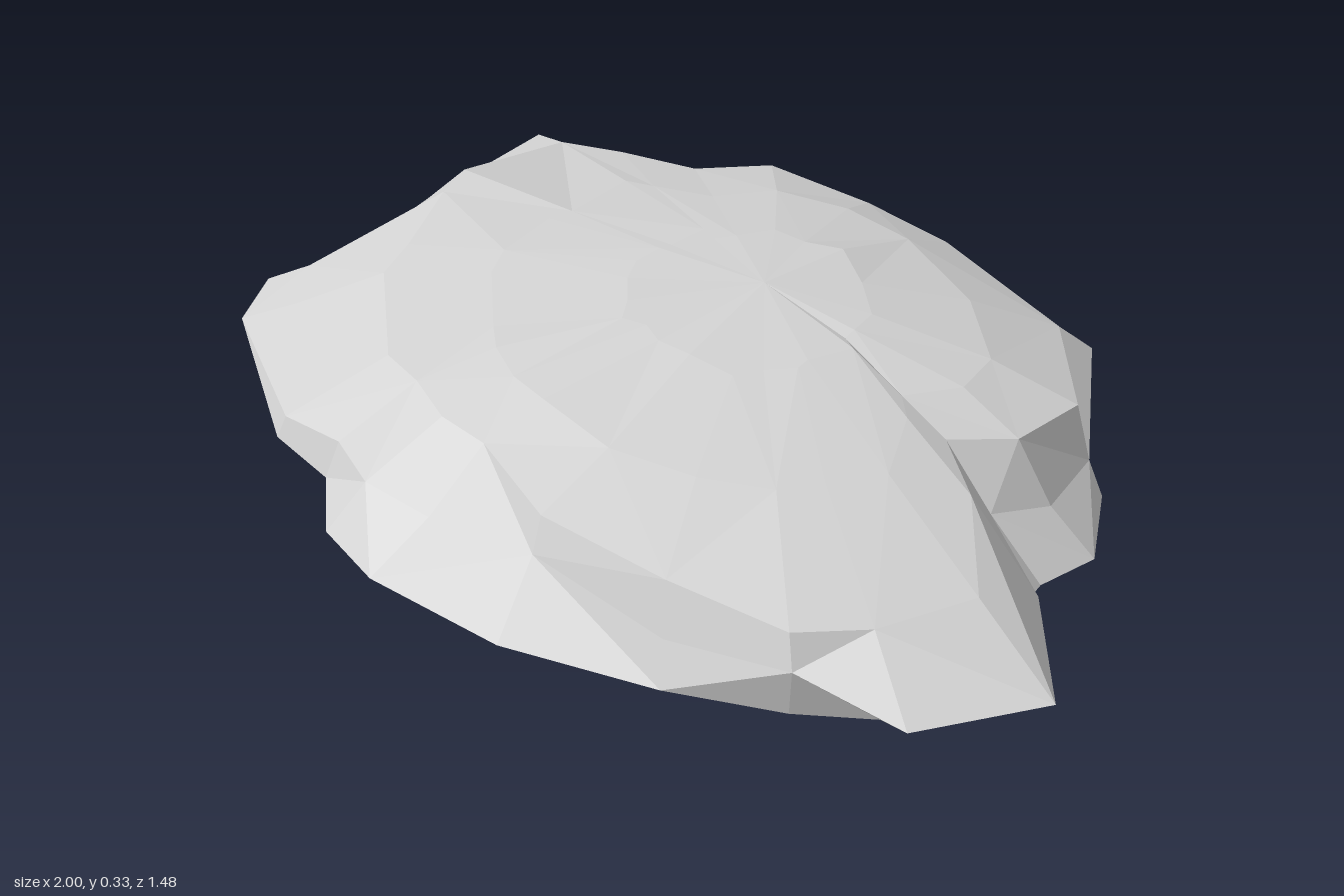
import * as THREE from 'three';

// Rock profile around the rim, one row per direction:
// angle (degrees, +x towards +z), foot radius, waist radius, waist height, shoulder radius, shoulder height
const RIM = [
  [-4, 0.74, 0.78, 0.11, 0.62, 0.24],
  [8, 0.79, 1.01, 0.135, 0.8, 0.21],
  [22, 0.84, 0.95, 0.12, 0.8, 0.215],
  [32, 0.79, 0.81, 0.16, 0.78, 0.22],
  [48, 0.73, 0.69, 0.13, 0.65, 0.225],
  [72, 0.715, 0.6, 0.17, 0.57, 0.235],
  [95, 0.745, 0.62, 0.13, 0.5, 0.24],
  [107, 0.76, 0.68, 0.14, 0.53, 0.24],
  [119, 0.73, 0.7, 0.13, 0.55, 0.245],
  [129, 0.82, 0.8, 0.1, 0.6, 0.235],
  [152, 1.01, 0.88, 0.12, 0.68, 0.24],
  [160, 1.04, 0.93, 0.12, 0.68, 0.25],
  [174, 0.955, 0.9, 0.12, 0.74, 0.26],
  [180, 1.0, 0.91, 0.13, 0.77, 0.265],
  [199, 0.94, 1.02, 0.13, 0.86, 0.2],
  [206, 0.93, 0.87, 0.1, 0.75, 0.22],
  [217, 0.93, 0.76, 0.11, 0.62, 0.245],
  [231, 0.855, 0.72, 0.1, 0.65, 0.24],
  [252, 0.78, 0.63, 0.1, 0.59, 0.235],
  [270, 0.69, 0.61, 0.12, 0.6, 0.215],
  [300, 0.64, 0.73, 0.14, 0.66, 0.2],
  [324, 0.73, 0.7, 0.1, 0.67, 0.22],
  [338, 0.76, 0.67, 0.11, 0.6, 0.235],
  [347, 0.71, 0.6, 0.13, 0.5, 0.25],
];
const PEAK = new THREE.Vector3(0, 0.33, -0.12);

function buildRock() {
  let seed = 7;
  const jitter = (amount) => {
    seed = (seed * 16807) % 2147483647;
    return (seed / 2147483647 - 0.5) * amount;
  };
  const polar = (deg, r, y) => {
    const a = THREE.MathUtils.degToRad(deg);
    return new THREE.Vector3(Math.cos(a) * r, y, Math.sin(a) * r);
  };
  // Shallow dome between the shoulder and the peak, rounder towards the middle
  const dome = (t, even) => RIM.map(([a, , , , r, y]) => {
    const p = polar(a, THREE.MathUtils.lerp(r, 0.66, even), y).lerp(PEAK, 1 - t);
    const edge = THREE.MathUtils.lerp(y, 0.235, even);
    p.y = PEAK.y - (PEAK.y - edge) * t ** 1.8 + jitter(0.006);
    p.x += jitter(0.04);
    p.z += jitter(0.04);
    return p;
  });

  // Rings from the underside to the peak
  const rings = [
    RIM.map(() => new THREE.Vector3(0, 0, 0)),
    RIM.map(([a, foot]) => polar(a, foot * 0.55, 0.004 + jitter(0.008))),
    RIM.map(([a, foot]) => polar(a, foot * 0.94, 0.011 + jitter(0.01))),
    RIM.map(([a, foot]) => polar(a, foot, a < 165 ? 0.052 : 0.022)),
    RIM.map(([a, , waist, y]) => polar(a, waist, y)),
    RIM.map(([a, , , , top, y]) => polar(a, top, y)),
    dome(0.7, 0.5),
    dome(0.35, 0.9),
    RIM.map(() => PEAK),
  ];

  const corners = [];
  const addFace = (a, b, c) => {
    if (!a.equals(b) && !b.equals(c) && !c.equals(a)) corners.push(a, b, c);
  };
  for (let k = 0; k < rings.length - 1; k++) {
    for (let i = 0; i < RIM.length; i++) {
      const j = (i + 1) % RIM.length;
      const [a, b, c, d] = [rings[k][i], rings[k + 1][i], rings[k + 1][j], rings[k][j]];
      // Alternate the diagonals for an irregular chipped surface
      if ((i + k) % 2) {
        addFace(a, b, c);
        addFace(a, c, d);
      } else {
        addFace(a, b, d);
        addFace(b, c, d);
      }
    }
  }
  const geometry = new THREE.BufferGeometry().setFromPoints(corners);
  geometry.computeVertexNormals();
  return geometry;
}

export function createModel() {
  const stone = new THREE.MeshStandardMaterial({ color: 0xd2d2d2, flatShading: true });
  stone.name = 'stoneGrey';
  const rock = new THREE.Mesh(buildRock(), stone);
  rock.name = 'rock';
  const model = new THREE.Group();
  model.name = 'flatRock';
  model.add(rock);
  return model;
}
